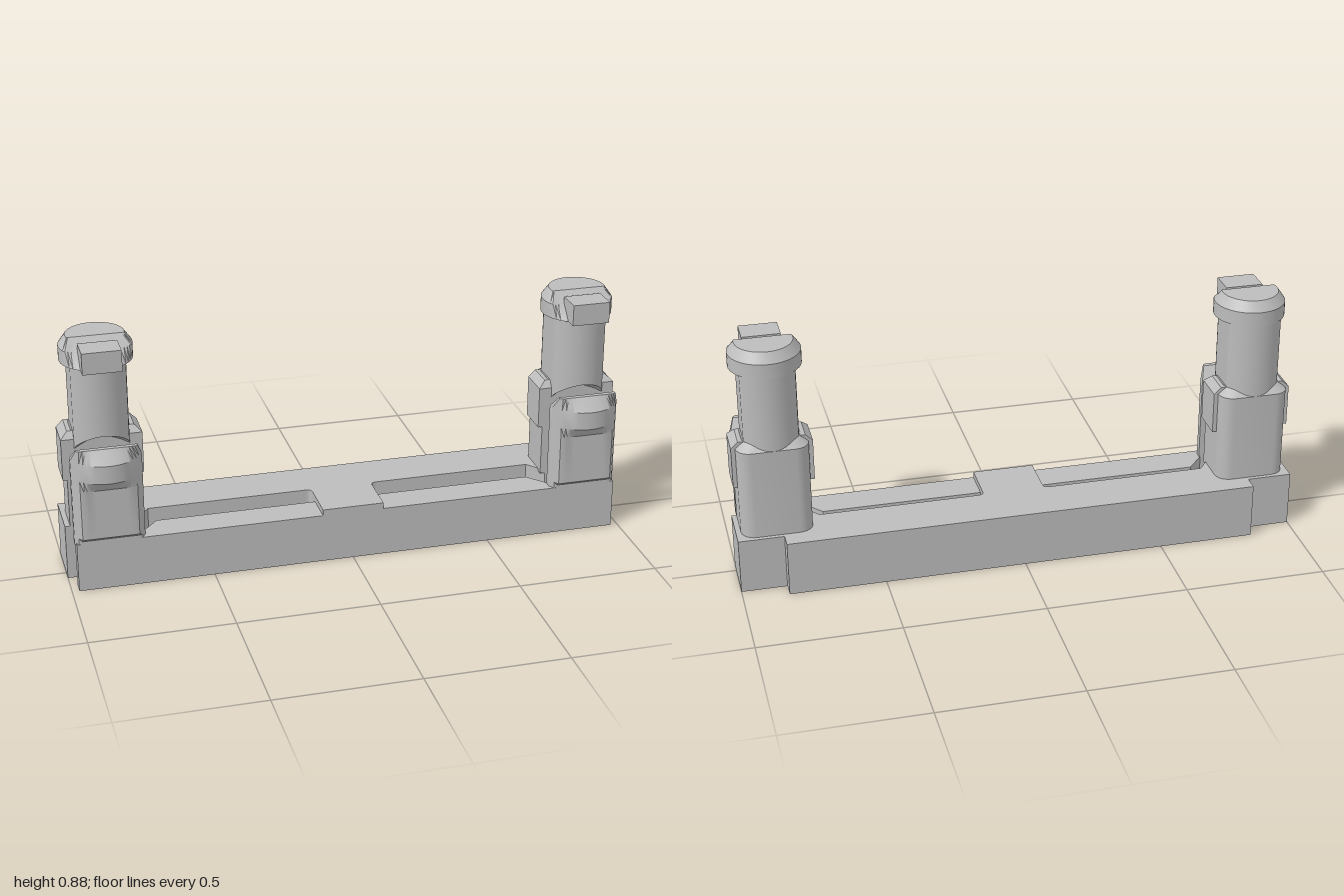
import * as THREE from 'three';
import { toCreasedNormals } from 'three/addons/utils/BufferGeometryUtils.js';

const grey = new THREE.MeshStandardMaterial({ color: 0xbcbcbc });
grey.name = 'plain grey';

function mesh(name, geometry) {
  const m = new THREE.Mesh(geometry, grey);
  m.name = name;
  return m;
}

function box(name, x0, x1, y0, y1, z0, z1) {
  const g = new THREE.BoxGeometry(x1 - x0, y1 - y0, z1 - z0);
  g.translate((x0 + x1) / 2, (y0 + y1) / 2, (z0 + z1) / 2);
  return mesh(name, g);
}

// Upright prism from a plan outline (x, z)
function slab(name, shape, height) {
  const g = new THREE.ExtrudeGeometry(shape, { depth: height, bevelEnabled: false, curveSegments: 6 });
  g.rotateX(Math.PI / 2);
  g.translate(0, height, 0);
  return mesh(name, g);
}

// Skin stacked rings of [x, y, z] points (running from +x towards +z) and cap both ends
function loft(name, rings, crease = 0.5) {
  const pos = [];
  const tri = (...pts) => pts.forEach((p) => pos.push(...p));
  const n = rings[0].length;
  const middle = (ring) => [0, 1, 2].map((k) => ring.reduce((s, p) => s + p[k], 0) / n);
  const first = rings[0], last = rings[rings.length - 1];
  const c0 = middle(first), c1 = middle(last);
  for (let i = 0; i < n; i++) {
    const j = (i + 1) % n;
    for (let r = 0; r + 1 < rings.length; r++) {
      const a = rings[r], b = rings[r + 1];
      tri(a[i], b[i], b[j]);
      tri(a[i], b[j], a[j]);
    }
    tri(c0, first[i], first[j]);
    tri(c1, last[j], last[i]);
  }
  const g = new THREE.BufferGeometry();
  g.setAttribute('position', new THREE.Float32BufferAttribute(pos, 3));
  return mesh(name, toCreasedNormals(g, crease));
}

function circle(count, rule) {
  return Array.from({ length: count }, (_, i) => {
    const a = (i / count) * Math.PI * 2;
    return rule(Math.cos(a), Math.sin(a));
  });
}

// Post outline: square front, rounded rear corners
function postRing(y, inset) {
  const w = 0.125 - inset, front = 0.04 - inset, back = -0.13 + inset, r = 0.05;
  const ring = [[w, y, front], [-w, y, front]];
  for (const side of [-1, 1]) {
    for (let i = 0; i <= 6; i++) {
      const a = (side < 0 ? Math.PI : Math.PI * 1.5) + (i / 6) * Math.PI / 2;
      ring.push([side * (w - r) + r * Math.cos(a), y, back + r + r * Math.sin(a)]);
    }
  }
  return ring;
}

// Clip outline: flat back, front bulging up to a limit
function clipRing(y, back, front, w) {
  const ring = [];
  for (let i = 0; i <= 20; i++) {
    const x = w * (1 - i / 10);
    const bulge = 0.065 + Math.sqrt(0.135 ** 2 - x * x);
    ring.push([x, y, Math.max(back + 0.002, Math.min(front, bulge))]);
  }
  ring.push([-w, y, back], [w, y, back]);
  return ring;
}

function createTower() {
  const tower = new THREE.Group();
  tower.name = 'tower';

  // Lower post with a chamfered top and stepped shoulders
  tower.add(loft('post', [postRing(0.19, 0), postRing(0.525, 0), postRing(0.55, 0.025)]));
  tower.add(loft('shoulder', [[0.375, 0.14, 0.04], [0.525, 0.14, 0.04], [0.549, 0.115, 0.02]].map(
    ([y, w, f]) => [[w, y, f], [-w, y, f], [-w, y, -0.08], [w, y, -0.08]]), 0.2));

  // Neck with flattened sides and a sloping front underside
  const neck = (height) => circle(48, (c, s) => {
    const z = -0.015 + 0.115 * s;
    return [THREE.MathUtils.clamp(0.115 * c, -0.095, 0.095), height(z), z];
  });
  tower.add(loft('neck', [neck((z) => 0.49 + Math.max(0, z - 0.04)), neck(() => 0.8)]));

  // Round cap, its front cut away at 45 degrees
  const cap = (y, r) => circle(48, (c, s) => [r * c, y, Math.min(-0.005 + r * s, 0.9 - y)]);
  tower.add(loft('cap', [cap(0.798, 0.125), cap(0.85, 0.125), cap(0.885, 0.1)]));
  tower.add(box('capTab', -0.067, 0.067, 0.798, 0.874, 0.05, 0.145));

  // Springy front clip: y, back, front, half width
  tower.add(loft('clip', [
    [0.17, 0.1, 0.145, 0.122], [0.188, 0.1, 0.145, 0.122], [0.2, 0.1, 0.16, 0.122],
    [0.38, 0.1, 0.16, 0.122], [0.42, 0.1, 0.2, 0.122], [0.485, 0.1, 0.2, 0.122],
    [0.53, 0.14, 0.157, 0.105],
  ].map((level) => clipRing(...level))));
  return tower;
}

export function createModel() {
  const model = new THREE.Group();
  model.name = 'clipBracket';

  // Main beam with end blocks and the centre bridge
  const beam = new THREE.Shape();
  beam.moveTo(-0.84, -0.2);
  for (const [x, z] of [[0.84, -0.2], [0.84, -0.145], [1, -0.145], [1, 0.04], [0.75, 0.04], [0.7, -0.025], [0.13, -0.025]]) {
    beam.lineTo(x, z);
  }
  beam.quadraticCurveTo(0.11, -0.025, 0.11, -0.005);
  beam.lineTo(0.11, 0.145);
  beam.lineTo(-0.11, 0.145);
  beam.lineTo(-0.11, -0.005);
  beam.quadraticCurveTo(-0.11, -0.025, -0.13, -0.025);
  for (const [x, z] of [[-0.7, -0.025], [-0.75, 0.04], [-1, 0.04], [-1, -0.145], [-0.84, -0.145]]) {
    beam.lineTo(x, z);
  }
  model.add(slab('beam', beam, 0.2));

  for (const side of [-1, 1]) {
    // Lower front arm, thin beneath the clip
    const arm = [[0.11, 0.145], [0.975, 0.145], [0.975, 0.1], [0.74, 0.1], [0.68, 0.03], [0.11, 0.03]];
    model.add(slab(side > 0 ? 'leftArm' : 'rightArm',
      new THREE.Shape(arm.map(([x, z]) => new THREE.Vector2(side * x, z))), 0.178));
    const tower = createTower();
    tower.name = side > 0 ? 'leftTower' : 'rightTower';
    tower.position.x = side * 0.857;
    model.add(tower);
  }
  return model;
}
